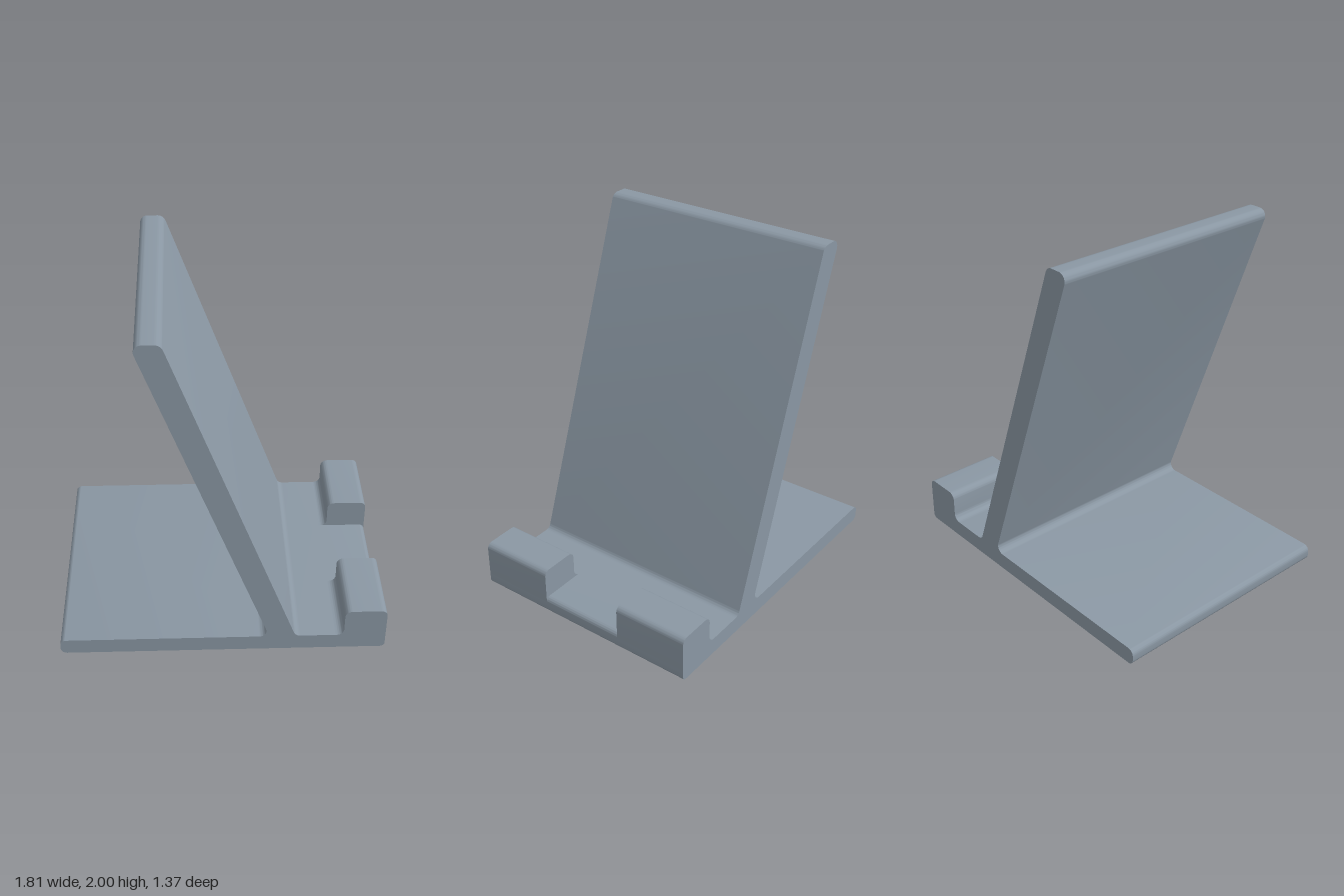
import * as THREE from 'three';
import { toCreasedNormals } from 'three/addons/utils/BufferGeometryUtils.js';

const HALF_WIDTH = 0.685;
const NOTCH = 0.25;

// Closed outline from [x, y, radius] corners; a radius rounds the corner with an arc.
function roundedShape(corners, steps = 12) {
  const pts = [];
  corners.forEach(([x, y, r = 0], i) => {
    const n = corners.length;
    const p = new THREE.Vector2(x, y);
    if (!r) { pts.push(p); return; }
    const toward = (c) => new THREE.Vector2(c[0], c[1]).sub(p).normalize();
    const u = toward(corners[(i + n - 1) % n]);
    const v = toward(corners[(i + 1) % n]);
    const half = Math.acos(u.dot(v)) / 2;
    const trim = r / Math.tan(half);
    const centre = u.clone().add(v).setLength(r / Math.sin(half)).add(p);
    const a0 = p.clone().addScaledVector(u, trim).sub(centre).angle();
    const a1 = p.clone().addScaledVector(v, trim).sub(centre).angle();
    const sweep = Math.atan2(Math.sin(a1 - a0), Math.cos(a1 - a0));
    for (let k = 0; k <= steps; k++) {
      const a = a0 + (sweep * k) / steps;
      pts.push(new THREE.Vector2(centre.x + r * Math.cos(a), centre.y + r * Math.sin(a)));
    }
  });
  return new THREE.Shape(pts);
}

// Extrude an outline between two z positions.
function slab(name, corners, z0, z1, material) {
  const geo = new THREE.ExtrudeGeometry(roundedShape(corners), { depth: z1 - z0, bevelEnabled: false });
  geo.translate(0, 0, z0);
  const mesh = new THREE.Mesh(toCreasedNormals(geo, 0.4), material);
  mesh.name = name;
  return mesh;
}

export function createModel() {
  const group = new THREE.Group();
  group.name = 'deviceStand';
  const slate = new THREE.MeshStandardMaterial({ color: 0x8a97a3 });
  slate.name = 'slateGrey';

  // Base plate and leaning back rest, one continuous profile with filleted joints
  group.add(slab('baseAndBackRest', [
    [-0.905, 0, 0.035],
    [0.905, 0, 0.025],
    [0.905, 0.095, 0.03],
    [0.402, 0.095, 0.04],
    [-0.291, 2, 0.045],
    [-0.437, 2, 0.04],
    [0.257, 0.095, 0.04],
    [-0.905, 0.095, 0.035],
  ], -HALF_WIDTH, HALF_WIDTH, slate));

  // Two front lips, separated by the cable notch
  const lip = [
    [0.625, 0.095],
    [0.625, 0.09],
    [0.875, 0.09],
    [0.905, 0.06],
    [0.905, 0.27, 0.035],
    [0.672, 0.27, 0.04],
    [0.672, 0.095, 0.04],
  ];
  group.add(slab('leftLip', lip, NOTCH, HALF_WIDTH, slate));
  group.add(slab('rightLip', lip, -HALF_WIDTH, -NOTCH, slate));

  return group;
}
